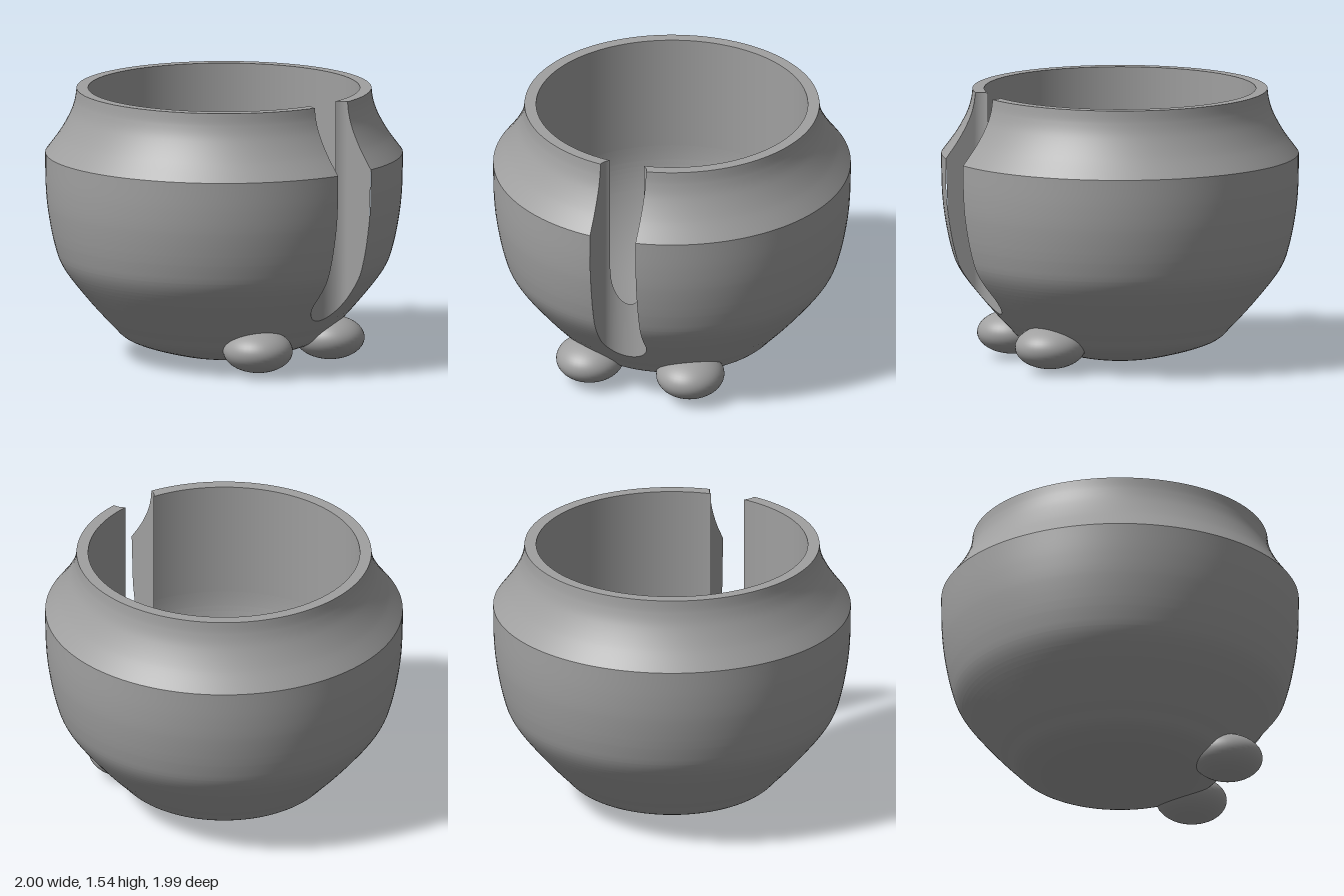
import * as THREE from 'three';

const RIM_Y = 1.535, INNER_R = 0.76, RIM_R = 0.825, BELLY_Y = 1.17;
const SLOT_W = 0.135, SLOT_Z = 0.82, SLOT_DEPTH = 0.1;
const COLUMNS = 128;

const spline = pts => new THREE.SplineCurve(pts.map(p => new THREE.Vector2(...p)))
  .getPoints(70).map(p => [p.x, p.y]);

// Silhouette pieces as [radius, height]
const belly = spline([[0, 0], [0.07, 0.002], [0.29, 0.04], [0.53, 0.115], [0.635, 0.205],
  [0.775, 0.36], [0.9, 0.525], [0.95, 0.66], [0.985, 0.845], [0.998, 1.0], [1, BELLY_Y]]);
const neck = spline([[RIM_R, RIM_Y], [0.835, 1.465], [0.862, 1.385], [0.92, 1.28], [1, BELLY_Y]]);
const hollowY = r => 0.87 - Math.sqrt(Math.max(0, INNER_R ** 2 - r * r));

// Linear lookup in a table sorted by its first column
function lookup(table, r) {
  if (r <= table[0][0]) return table[0][1];
  for (let i = 1; i < table.length; i++) {
    const [r0, v0] = table[i - 1], [r1, v1] = table[i];
    if (r <= r1 && r1 > r0) return v0 + (v1 - v0) * (r - r0) / (r1 - r0);
  }
  return table[table.length - 1][1];
}

// Half outline of the vertical slot as [radius, angle], from its rounded back to the outside
function slotOutline() {
  const pts = [];
  for (let i = 0; i <= 28; i++) {
    const t = i / 28 * Math.PI / 2;
    pts.push([SLOT_W * Math.sin(t), SLOT_Z - SLOT_DEPTH * Math.cos(t)]);
  }
  const end = Math.sqrt(1 - SLOT_W ** 2);
  for (let i = 1; i <= 16; i++) pts.push([SLOT_W, SLOT_Z + (end - SLOT_Z) * i / 16]);
  const polar = pts.map(([x, z]) => [Math.hypot(x, z), Math.atan2(x, z)]);
  const extra = [INNER_R, RIM_R].map(r => [r, lookup(polar, r)]);
  return [...polar, ...extra].sort((a, b) => a[0] - b[0]);
}
const slot = slotOutline();
const slotAngle = r => lookup(slot, r);

function gridIndex(rows, cols) {
  const index = [];
  for (let i = 0; i < rows - 1; i++) for (let j = 0; j < cols - 1; j++) {
    const a = i * cols + j, b = a + cols;
    index.push(a, a + 1, b + 1, a, b + 1, b);
  }
  return index;
}

// Turned surface that stops at both edges of the slot
function turned(rows) {
  const pos = [], nor = [];
  rows.forEach(([r, y], i) => {
    const p = rows[Math.max(0, i - 1)], q = rows[Math.min(rows.length - 1, i + 1)];
    const dr = q[0] - p[0], dy = q[1] - p[1], len = Math.hypot(dr, dy) || 1;
    const gap = slotAngle(r);
    for (let j = 0; j <= COLUMNS; j++) {
      const a = gap + (2 * Math.PI - 2 * gap) * j / COLUMNS;
      pos.push(r * Math.sin(a), y, r * Math.cos(a));
      nor.push(dy / len * Math.sin(a), -dr / len, dy / len * Math.cos(a));
    }
  });
  const g = new THREE.BufferGeometry();
  g.setAttribute('position', new THREE.Float32BufferAttribute(pos, 3));
  g.setAttribute('normal', new THREE.Float32BufferAttribute(nor, 3));
  g.setIndex(gridIndex(rows.length, COLUMNS + 1));
  return g;
}

// Rows of a piece, with extra rows where the slot outline bends
function rowsFor(radii, heightAt) {
  const lo = Math.min(...radii), hi = Math.max(...radii);
  const all = [...radii, ...slot.map(s => s[0]).filter(r => r > lo && r < hi)].sort((a, b) => a - b);
  return all.filter((r, i) => i === 0 || r - all[i - 1] > 1e-5).map(r => [r, heightAt(r)]);
}

// Upright wall lining the slot
function slotWall() {
  const half = [];
  for (const [r, a] of slot) {
    const low = lookup(belly, r);
    if (r <= INNER_R) half.push([r, a, low, hollowY(r)]);
    if (r >= INNER_R) half.push([r, a, low, r <= RIM_R ? RIM_Y : lookup(neck, r)]);
  }
  const path = [...half.slice(1).reverse().map(([r, a, l, t]) => [r, -a, l, t]), ...half];
  const pos = [];
  for (const k of [2, 3]) for (const p of path) {
    pos.push(p[0] * Math.sin(p[1]), p[k], p[0] * Math.cos(p[1]));
  }
  const g = new THREE.BufferGeometry();
  g.setAttribute('position', new THREE.Float32BufferAttribute(pos, 3));
  g.setIndex(gridIndex(2, path.length));
  g.computeVertexNormals();
  return g;
}

export function createModel() {
  const model = new THREE.Group();
  const grey = new THREE.MeshStandardMaterial({ color: 0xa0a0a0 });
  grey.name = 'plain grey';
  const add = (name, geometry) => {
    const mesh = new THREE.Mesh(geometry, grey);
    mesh.name = name;
    model.add(mesh);
    return mesh;
  };

  // Pot body, from the base up over the rim and down inside
  add('belly', turned(rowsFor(belly.map(p => p[0]), r => lookup(belly, r))));
  add('neck', turned(rowsFor(neck.map(p => p[0]), r => lookup(neck, r)).reverse()));
  add('rim', turned(rowsFor([INNER_R, RIM_R], () => RIM_Y).reverse()));
  const bowlRadii = Array.from({ length: 41 }, (_, i) => INNER_R * Math.sin(i / 40 * Math.PI / 2));
  add('innerBowl', turned(rowsFor(bowlRadii, hollowY).reverse()));
  add('innerWall', turned([[INNER_R, RIM_Y], [INNER_R, 0.87]]));
  add('slotWall', slotWall());

  // Two rounded feet at the front
  for (const side of [1, -1]) {
    const foot = add(side > 0 ? 'leftFoot' : 'rightFoot', new THREE.SphereGeometry(1, 40, 28));
    foot.scale.set(0.19, 0.122, 0.2);
    foot.position.set(side * 0.297, 0.143, 0.53);
  }
  return model;
}
